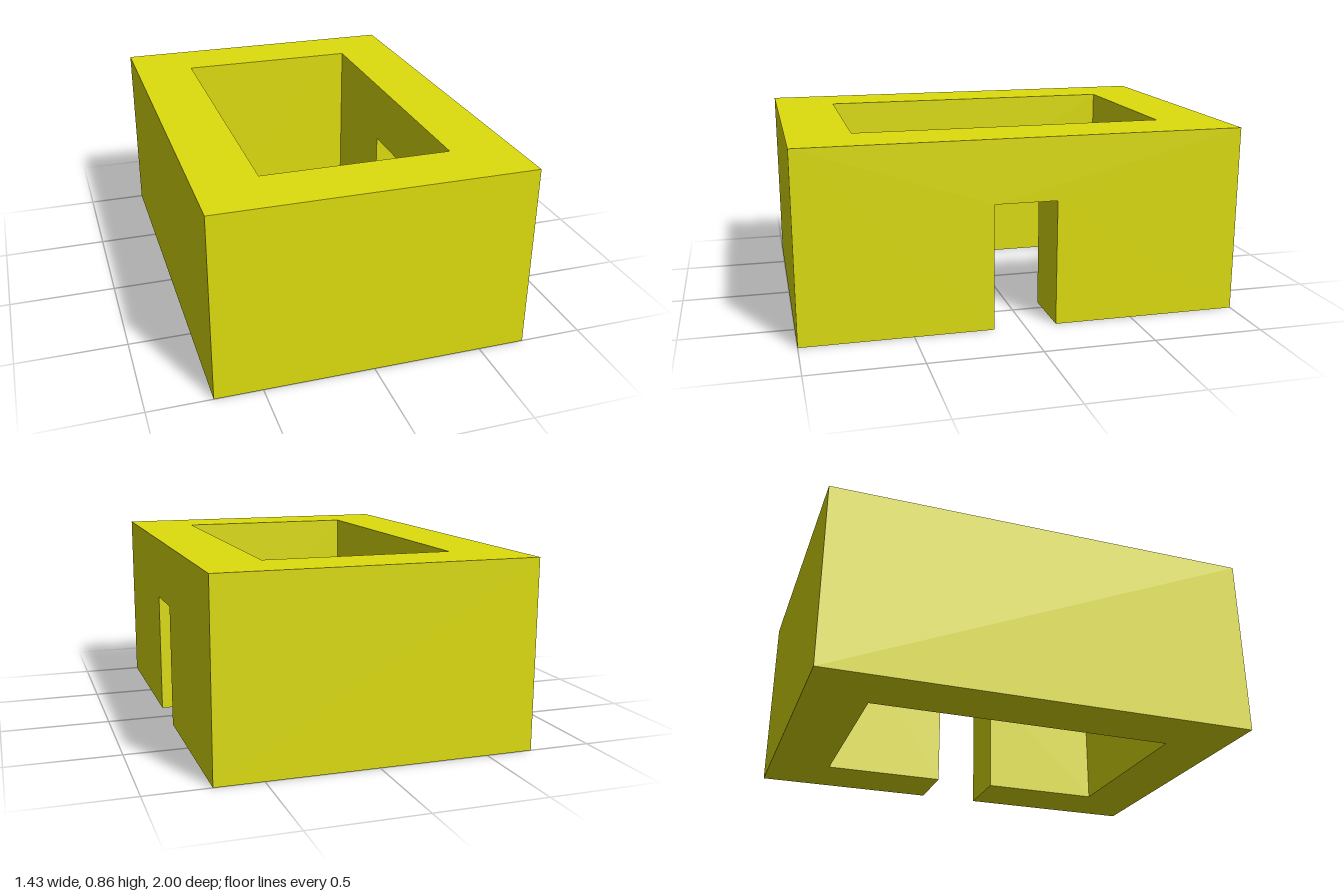
import * as THREE from 'three';

const U = 1 / 7; // modular unit
const OUT_X = 5 * U, OUT_Z = 7 * U, IN_X = 3 * U, IN_Z = 5 * U;
const HEIGHT = 6 * U, DOOR_HALF = U, DOOR_H = 4 * U;

const polygon = (pts) => new THREE.Shape(pts.map(([x, y]) => new THREE.Vector2(x, y)));

// Upright panel outline, optionally notched by the doorway
function panelShape(half, height, door = false) {
  const pts = [[-half, 0]];
  if (door) pts.push([-DOOR_HALF, 0], [-DOOR_HALF, DOOR_H], [DOOR_HALF, DOOR_H], [DOOR_HALF, 0]);
  pts.push([half, 0], [half, height], [-half, height]);
  return polygon(pts);
}

export function createModel() {
  const model = new THREE.Group();
  model.name = 'walledEnclosure';
  const material = new THREE.MeshStandardMaterial({ color: 0xdddd0d });

  function add(name, geometry, parent = model) {
    const mesh = new THREE.Mesh(geometry, material);
    mesh.name = name;
    parent.add(mesh);
  }
  function section(name) {
    const group = new THREE.Group();
    group.name = name;
    model.add(group);
    return group;
  }
  // Vertical face turned by angle, offset along its own normal
  const upright = (shape, offset, angle) =>
    new THREE.ShapeGeometry(shape).translate(0, 0, offset).rotateY(angle);

  // Outer and inner wall faces; the doorway pierces the +x wall
  const outer = section('outerWalls');
  const inner = section('innerWalls');
  const sides = [
    ['front', 0, false], ['left', Math.PI / 2, true],
    ['back', Math.PI, false], ['right', -Math.PI / 2, false],
  ];
  sides.forEach(([side, angle, door], i) => {
    const alongX = i % 2 === 0;
    add(side + 'OuterFace',
      upright(panelShape(alongX ? OUT_X : OUT_Z, HEIGHT, door), alongX ? OUT_Z : OUT_X, angle), outer);
    add(side + 'InnerFace',
      upright(panelShape(alongX ? IN_X : IN_Z, HEIGHT, door), alongX ? -IN_Z : -IN_X, angle + Math.PI), inner);
  });

  // Doorway jambs and lintel underside
  const doorway = section('doorway');
  const doorX = (OUT_X + IN_X) / 2, thickness = OUT_X - IN_X;
  for (const [name, angle] of [['backJamb', 0], ['frontJamb', Math.PI]]) {
    add(name, upright(panelShape(thickness / 2, DOOR_H), -DOOR_HALF, angle).translate(doorX, 0, 0), doorway);
  }
  add('lintelUnderside', new THREE.PlaneGeometry(thickness, 2 * DOOR_HALF)
    .rotateX(Math.PI / 2).translate(doorX, DOOR_H, 0), doorway);

  // Flat rim around the open top
  const rim = polygon([[-OUT_X, -OUT_Z], [OUT_X, -OUT_Z], [OUT_X, OUT_Z], [-OUT_X, OUT_Z]]);
  rim.holes.push(polygon([[-IN_X, -IN_Z], [-IN_X, IN_Z], [IN_X, IN_Z], [IN_X, -IN_Z]]));
  add('topRim', new THREE.ShapeGeometry(rim).rotateX(-Math.PI / 2).translate(0, HEIGHT, 0));

  // Footprint of the walls, broken at the doorway
  const footprint = polygon([
    [OUT_X, -DOOR_HALF], [OUT_X, -OUT_Z], [-OUT_X, -OUT_Z], [-OUT_X, OUT_Z], [OUT_X, OUT_Z], [OUT_X, DOOR_HALF],
    [IN_X, DOOR_HALF], [IN_X, IN_Z], [-IN_X, IN_Z], [-IN_X, -IN_Z], [IN_X, -IN_Z], [IN_X, -DOOR_HALF],
  ]);
  add('wallBase', new THREE.ShapeGeometry(footprint).rotateX(Math.PI / 2));

  return model;
}
